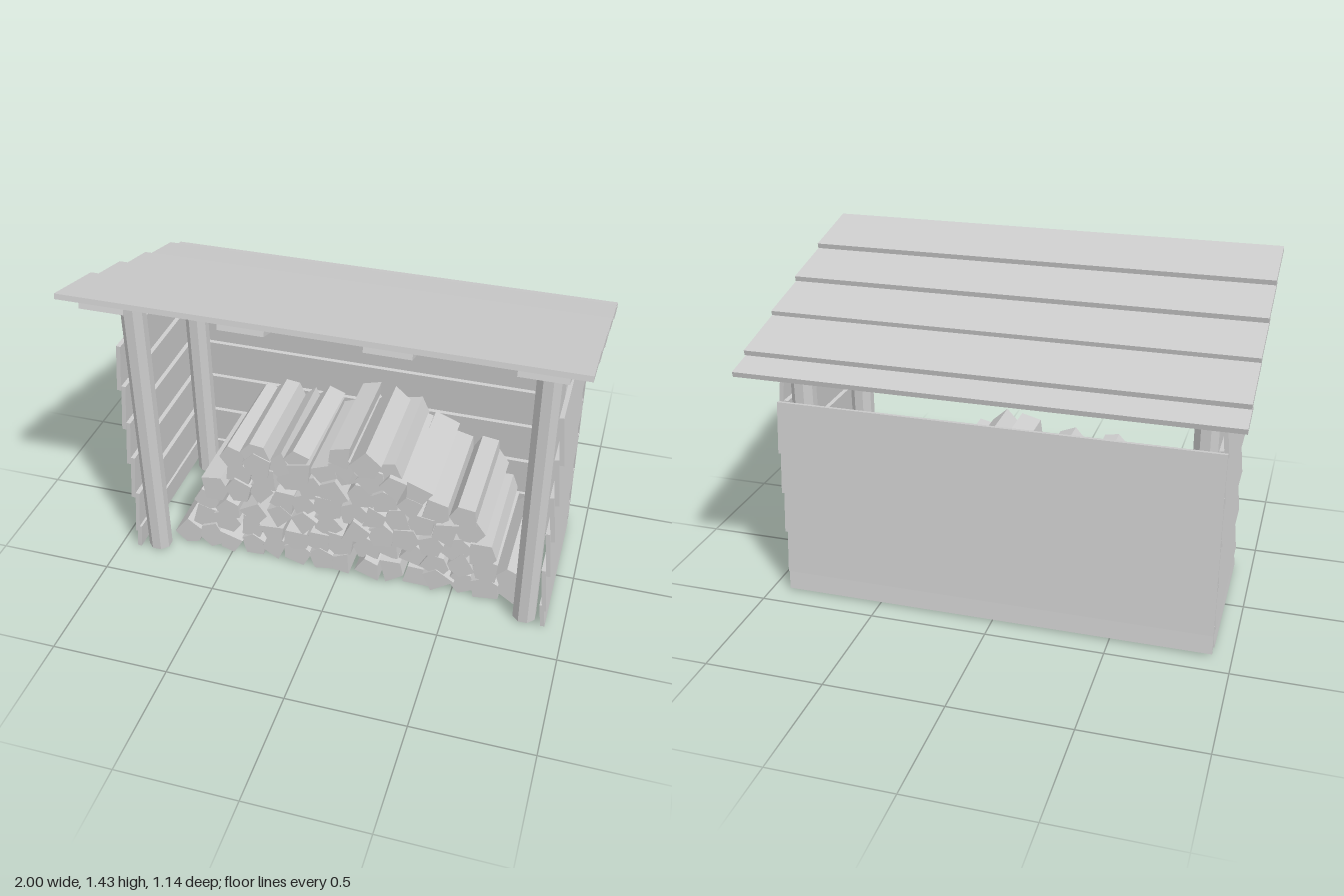
import * as THREE from 'three';

const material = new THREE.MeshStandardMaterial({ color: 0xcccccc, flatShading: true });

function add(parent, name, geometry) {
  const mesh = new THREE.Mesh(geometry, material);
  mesh.name = name;
  parent.add(mesh);
  return mesh;
}

// Flat board whose centre line runs from [z, y] to [z, y], with its width along x
function board(parent, name, [z0, y0], [z1, y1], width, thickness, x = 0) {
  const length = Math.hypot(z1 - z0, y1 - y0);
  const mesh = add(parent, name, new THREE.BoxGeometry(width, thickness, length));
  mesh.position.set(x, (y0 + y1) / 2, (z0 + z1) / 2);
  mesh.rotation.x = -Math.atan2(y1 - y0, z1 - z0);
  return mesh;
}

// Underside of the rafters
const roofLine = (z) => 1.194 + 0.3137 * z;

function seeded(seed) {
  return () => {
    seed = (seed * 16807) % 2147483647;
    return seed / 2147483647;
  };
}

// Eight-sided post, its top cut to the slope of the roof
function post(parent, name, x, z) {
  const geometry = new THREE.CylinderGeometry(0.051, 0.051, 1, 8);
  geometry.rotateY(Math.PI / 8);
  const p = geometry.attributes.position;
  for (let i = 0; i < p.count; i++) {
    p.setY(i, p.getY(i) > 0 ? roofLine(z + p.getZ(i)) : 0.01);
  }
  geometry.computeVertexNormals();
  add(parent, name, geometry).position.set(x, 0, z);
}

// Overlapping wall boards, leaning outward at their lower edges
const boardEdges = [[0.01, 0.125], [0.095, 0.315], [0.29, 0.51], [0.475, 0.695], [0.66, 0.88], [0.858, 1.075]];
function wall(parent, name, count, topOffset, bottomOffset, width, turn) {
  const group = new THREE.Group();
  group.name = name;
  group.rotation.y = turn;
  for (const [low, high] of boardEdges.slice(0, count)) {
    board(group, 'wallBoard', [bottomOffset, low], [topOffset + (low < 0.05 ? 0.009 : 0), high], width, 0.018);
  }
  parent.add(group);
  return group;
}

// Split log with an irregular wedge profile
const profiles = [
  [[-0.055, -0.045], [0.05, -0.052], [0.062, 0.018], [0.015, 0.058], [-0.05, 0.04]],
  [[-0.06, -0.03], [0.01, -0.06], [0.06, -0.01], [0.04, 0.05], [-0.045, 0.05]],
  [[-0.055, -0.045], [0.055, -0.045], [0.05, 0.035], [-0.02, 0.055]],
  [[-0.06, -0.04], [0.03, -0.055], [0.065, 0.0], [0.0, 0.06]],
];
function logGeometry(profile, length, spin, size) {
  const shape = new THREE.Shape(profile.map(([x, y]) => new THREE.Vector2(x * size, y * size)));
  const geometry = new THREE.ExtrudeGeometry(shape, { depth: length, bevelEnabled: false });
  geometry.translate(0, 0, -length / 2);
  geometry.rotateZ(spin);
  geometry.computeBoundingBox();
  return geometry;
}

// Log rows: left end, right end and height of the centres
const logRows = [
  [-0.71, 0.75, 0.06], [-0.62, 0.74, 0.155], [-0.61, 0.63, 0.25], [-0.57, 0.57, 0.345],
  [-0.45, 0.53, 0.44], [-0.47, 0.34, 0.53], [-0.37, 0.2, 0.575], [0.0, 0.12, 0.62],
];
function woodPile(parent) {
  const random = seeded(4711);
  const pile = new THREE.Group();
  pile.name = 'woodPile';
  logRows.forEach(([left, right, height], row) => {
    const steps = Math.max(1, Math.round((right - left) / (row === 6 ? 0.19 : 0.108)));
    for (let i = 0; i <= steps; i++) {
      const profile = profiles[Math.floor(random() * profiles.length)];
      const geometry = logGeometry(profile, 0.5 + random() * 0.02, random() * Math.PI * 2, 0.92 + random() * 0.16);
      const log = add(pile, 'log', geometry);
      const x = left + ((right - left) * i) / steps + (random() - 0.5) * 0.02;
      const y = row === 0 ? 0.002 - geometry.boundingBox.min.y : height + (random() - 0.5) * 0.025;
      log.position.set(x, y, -0.015 + (random() - 0.5) * 0.03);
      log.rotation.y = (random() - 0.5) * 0.03;
    }
  });
  parent.add(pile);
}

export function createModel() {
  const model = new THREE.Group();
  model.name = 'firewoodShelter';

  // Posts
  for (const x of [-0.83, 0.83]) {
    post(model, 'frontPost', x, 0.288);
    post(model, 'backPost', x, -0.303);
  }

  // Walls
  wall(model, 'backWall', 5, 0.367, 0.393, 1.84, Math.PI);
  for (const side of [1, -1]) {
    const name = side > 0 ? 'leftWall' : 'rightWall';
    wall(model, name, 6, 0.892, 0.914, 0.685, (side * Math.PI) / 2).position.z = -0.0075;
  }

  // Rafters
  for (const x of [-0.83, -0.277, 0.277, 0.83]) {
    board(model, 'rafter', [0.538, 1.378], [-0.473, 1.06], 0.182, 0.028, x);
  }

  // Overlapping roof boards, from front to back
  const roofBoards = [
    [[0.57, 1.42], [0.28, 1.356]],
    [[0.325, 1.343], [0.035, 1.278]],
    [[0.09, 1.265], [-0.203, 1.2]],
    [[-0.168, 1.188], [-0.46, 1.119]],
    [[-0.411, 1.102], [-0.568, 1.068]],
  ];
  for (const [front, back] of roofBoards) board(model, 'roofBoard', front, back, 2, 0.022);

  woodPile(model);
  return model;
}
